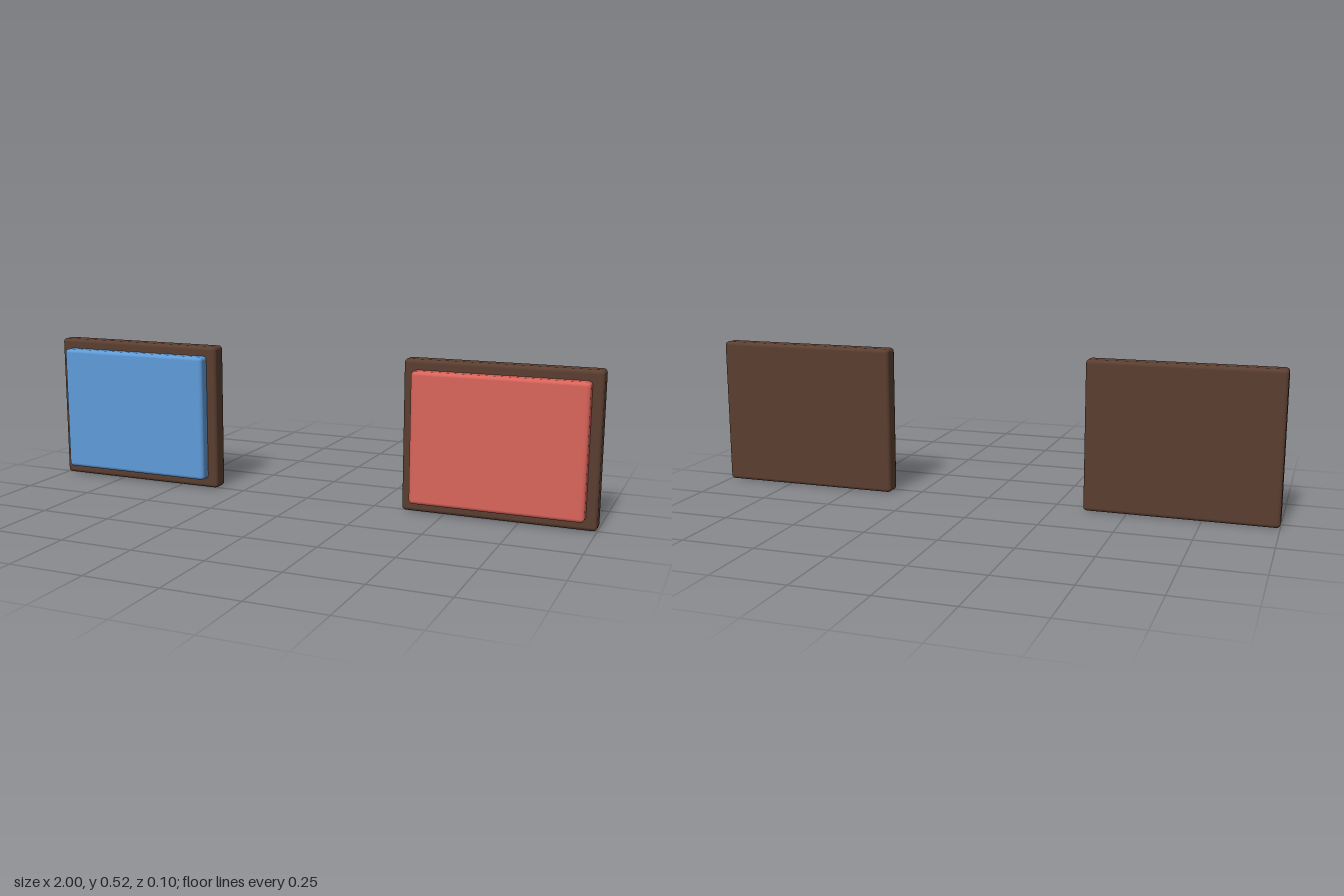
import * as THREE from 'three';
import { RoundedBoxGeometry } from 'three/addons/geometries/RoundedBoxGeometry.js';

const BOARD = { w: 0.648, h: 0.516, back: -0.0525, front: 0.0125 };
const PANEL = { w: 0.578, h: 0.447, back: -0.013, front: 0.0525 };
const CENTRE_X = 1 - BOARD.w / 2;
const CENTRE_Y = BOARD.h / 2;

// Softly bevelled slab between two depths
function slab(name, { w, h, back, front }, color) {
  const geometry = new RoundedBoxGeometry(w, h, front - back, 2, 0.013);
  const mesh = new THREE.Mesh(geometry, new THREE.MeshStandardMaterial({ color }));
  mesh.name = name;
  mesh.position.z = (front + back) / 2;
  return mesh;
}

// Backing board with a raised coloured panel
function plaque(name, side, color) {
  const group = new THREE.Group();
  group.name = name;
  group.add(slab('backingBoard', BOARD, 0x5a3e30), slab('colouredPanel', PANEL, color));
  group.position.set(side * CENTRE_X, CENTRE_Y, 0);
  return group;
}

export function createModel() {
  const model = new THREE.Group();
  model.name = 'plaquePair';
  model.add(plaque('rightPlaque', -1, 0x5f9bd8), plaque('leftPlaque', 1, 0xd9645a));
  return model;
}
